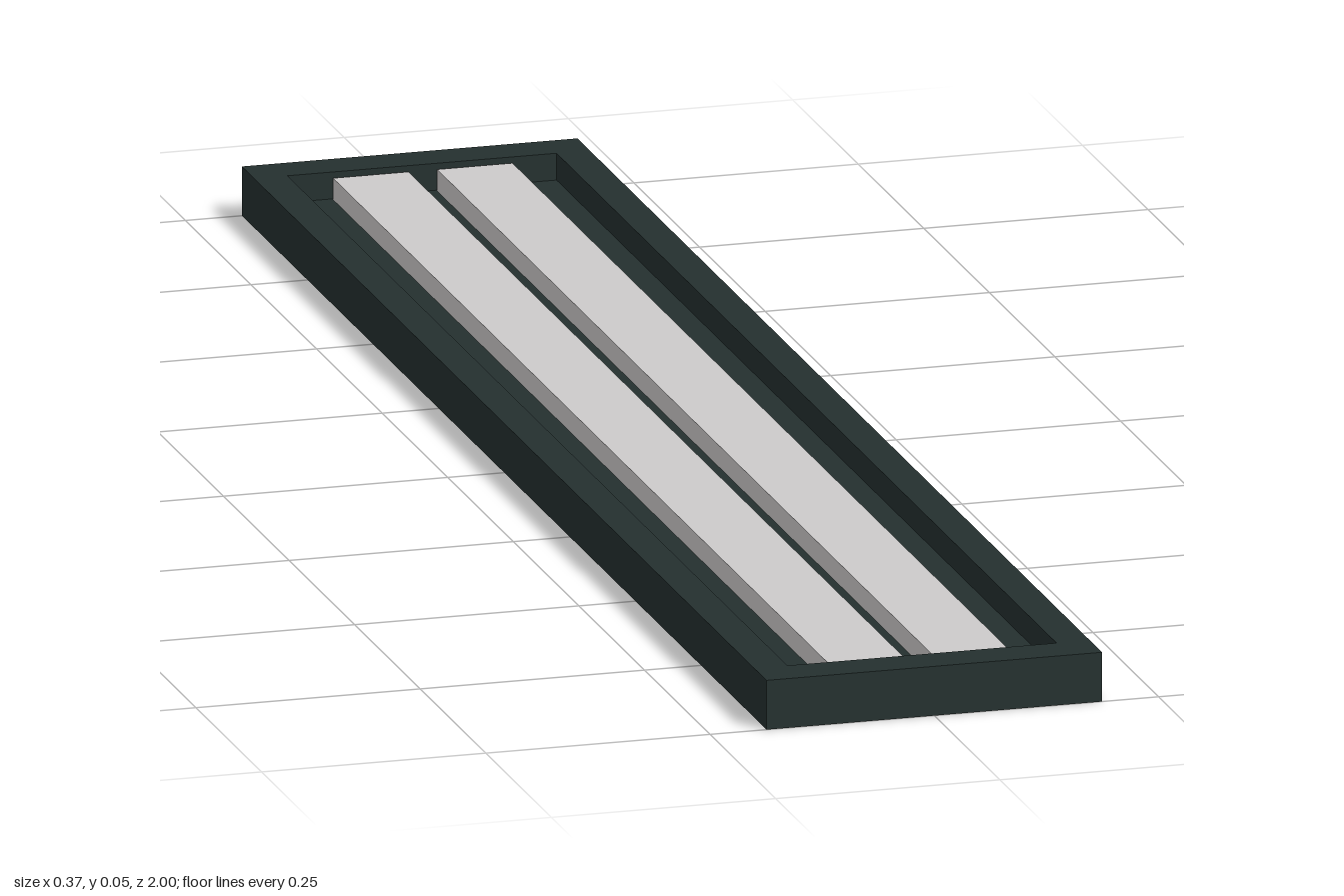
import * as THREE from 'three';
import { mergeGeometries } from 'three/addons/utils/BufferGeometryUtils.js';

const HALF_W = 0.187, HALF_L = 1, HEIGHT = 0.055;   // outer housing
const IN_W = 0.15, IN_L = 0.953;                    // recess opening
const FLOOR_Y = 0.025, TUBE_TOP = 0.049;
const TUBE_X = 0.058, TUBE_HW = 0.042, TUBE_HL = 0.95;

// Adds a rectangle centred on (cx, 0) to a shape or path
function rect(path, cx, hw, hl) {
  path.moveTo(cx - hw, -hl);
  path.lineTo(cx + hw, -hl);
  path.lineTo(cx + hw, hl);
  path.lineTo(cx - hw, hl);
  path.closePath();
  return path;
}

// Flat horizontal sheet with rectangular holes, facing up
function sheet(hw, hl, y, holes = []) {
  const shape = rect(new THREE.Shape(), 0, hw, hl);
  holes.forEach(([cx, w, l]) => shape.holes.push(rect(new THREE.Path(), cx, w, l)));
  return new THREE.ShapeGeometry(shape).rotateX(-Math.PI / 2).translate(0, y, 0);
}

// Four upright walls around a rectangle, facing outward
function walls(hw, hl, y0, y1) {
  const parts = [];
  for (let i = 0; i < 4; i++) {
    const alongX = i % 2 === 0;
    const plane = new THREE.PlaneGeometry(2 * (alongX ? hw : hl), y1 - y0);
    plane.translate(0, (y0 + y1) / 2, alongX ? hl : hw);
    parts.push(plane.rotateY(i * Math.PI / 2));
  }
  return mergeGeometries(parts);
}

export function createModel() {
  const model = new THREE.Group();
  model.name = 'lightFixture';

  const housingMat = new THREE.MeshStandardMaterial({ color: 0x24302f, side: THREE.DoubleSide });
  housingMat.name = 'dark green metal';
  const lampMat = new THREE.MeshStandardMaterial({ color: 0xcccaca, side: THREE.DoubleSide });
  lampMat.name = 'pale grey lamp';

  const add = (name, geometry, material) => {
    const mesh = new THREE.Mesh(geometry, material);
    mesh.name = name;
    model.add(mesh);
    return mesh;
  };

  // Housing: folded sheet metal, open underneath
  add('outerWalls', walls(HALF_W, HALF_L, 0, HEIGHT), housingMat);
  add('topRim', sheet(HALF_W, HALF_L, HEIGHT, [[0, IN_W, IN_L]]), housingMat);
  add('recessWalls', walls(IN_W, IN_L, FLOOR_Y, HEIGHT), housingMat);
  add('recessFloor', sheet(IN_W, IN_L, FLOOR_Y,
    [-1, 1].map((s) => [s * TUBE_X, TUBE_HW, TUBE_HL])), housingMat);

  // Two long lamps, hollow below
  const lampGeometry = mergeGeometries([
    walls(TUBE_HW, TUBE_HL, FLOOR_Y, TUBE_TOP),
    sheet(TUBE_HW, TUBE_HL, TUBE_TOP),
  ]);
  for (const side of [-1, 1]) {
    add(side > 0 ? 'leftLamp' : 'rightLamp', lampGeometry, lampMat).position.x = side * TUBE_X;
  }

  return model;
}
